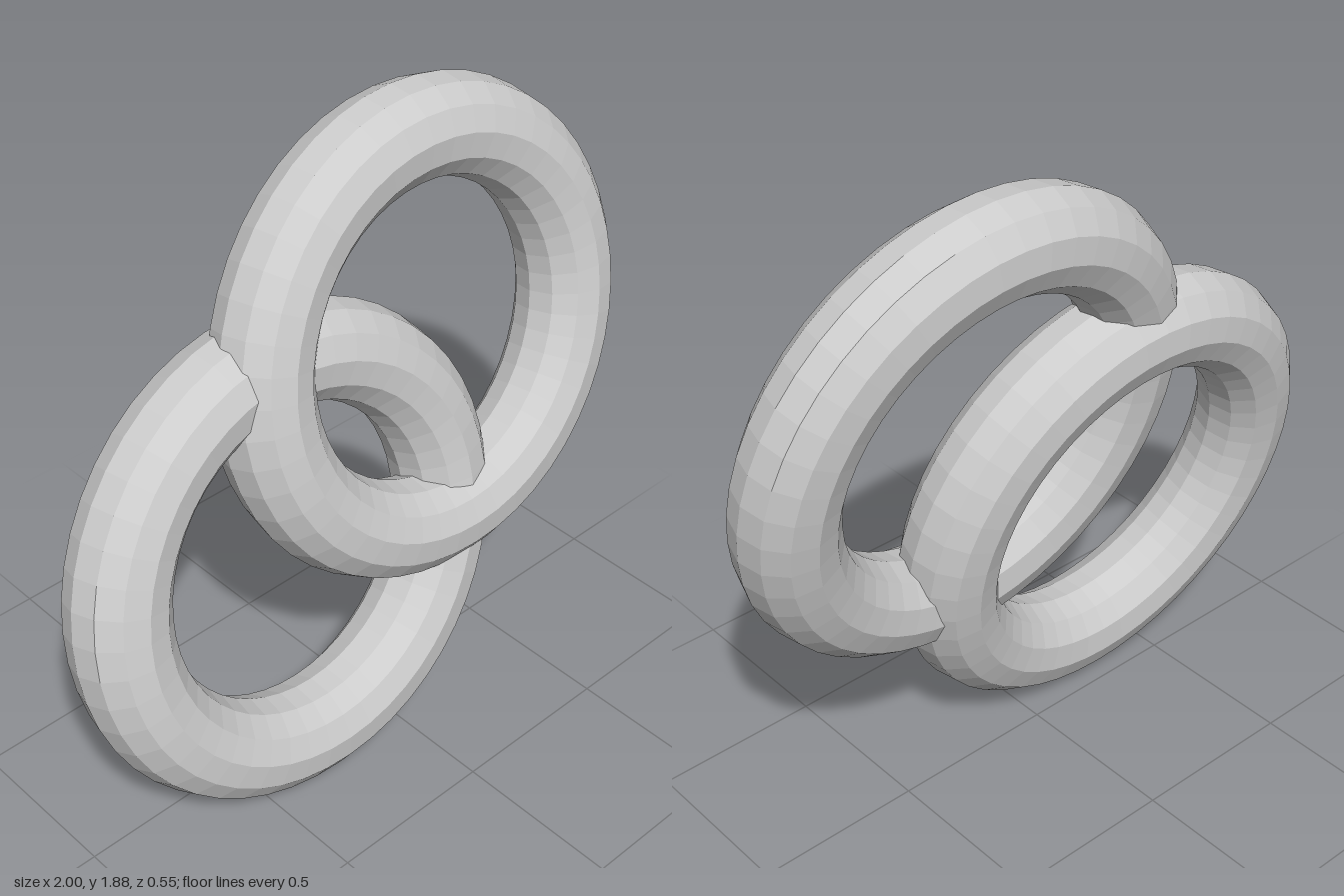
import * as THREE from 'three';

export function createModel() {
  const group = new THREE.Group();
  group.name = 'interlockedRings';
  const material = new THREE.MeshStandardMaterial({ color: 0xcccccc, flatShading: true });
  const geometry = new THREE.TorusGeometry(0.581, 0.144, 12, 48);
  const tilt = THREE.MathUtils.degToRad(-11);

  // Two equal rings lean back in parallel, offset so their tubes cut through each other
  const addRing = (name, x, y, z) => {
    const ring = new THREE.Mesh(geometry, material);
    ring.name = name;
    ring.position.set(x, y, z);
    ring.rotation.x = tilt;
    group.add(ring);
  };
  addRing('lowerRing', -0.275, 0.713, 0.023);
  addRing('upperRing', 0.275, 1.17, -0.023);

  return group;
}
